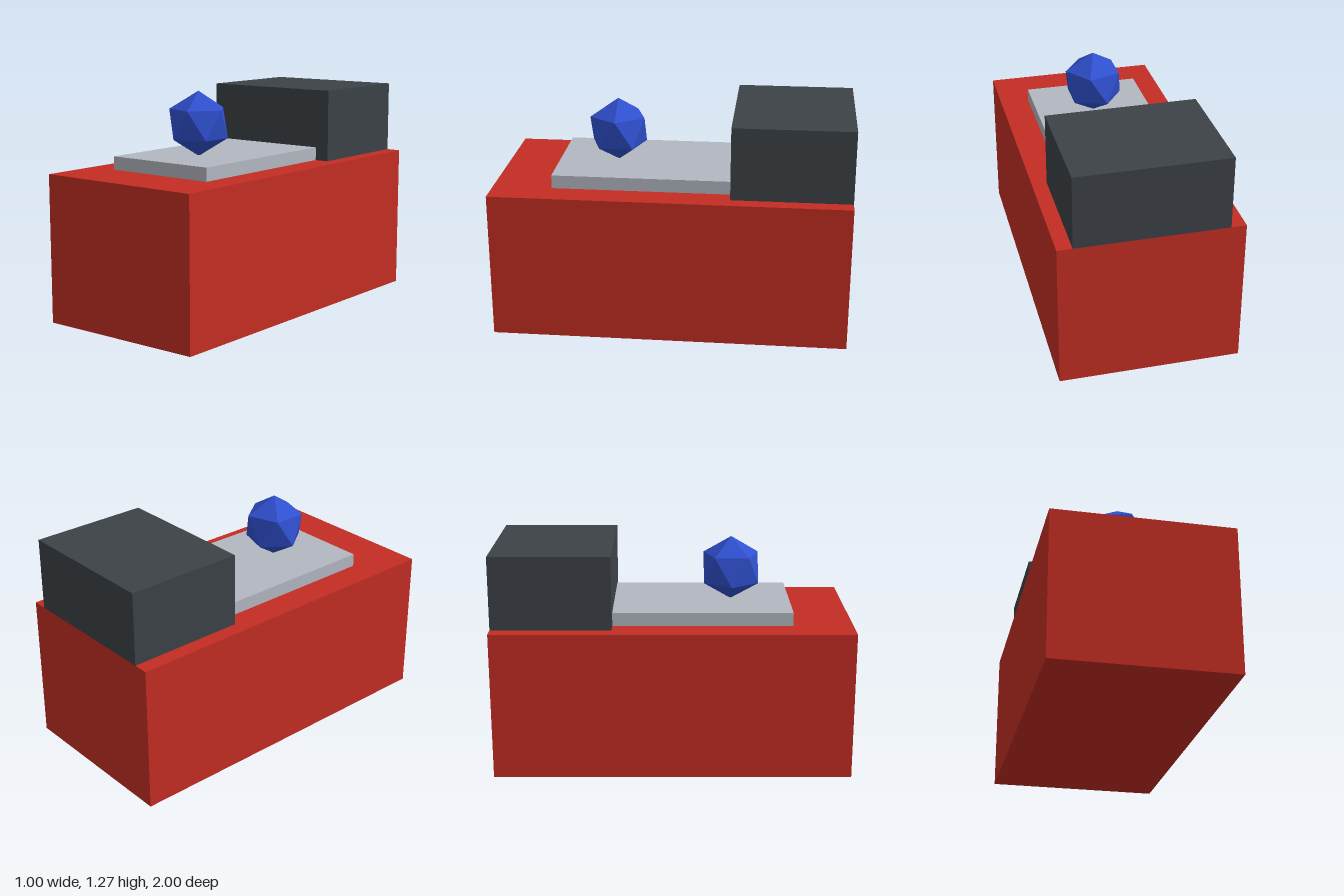
import * as THREE from 'three';

function material(name, color) {
  const m = new THREE.MeshStandardMaterial({ color, flatShading: true });
  m.name = name;
  return m;
}

export function createModel() {
  const model = new THREE.Group();
  model.name = 'model';

  const red = material('red', 0xc42d23);
  const charcoal = material('charcoal', 0x3c4247);
  const grey = material('light grey', 0xb3b7c1);
  const blue = material('blue', 0x3050d0);

  // Box centred on x = 0, given by its width and its y and z ranges
  function box(name, width, y0, y1, z0, z1, mat) {
    const mesh = new THREE.Mesh(new THREE.BoxGeometry(width, y1 - y0, z1 - z0), mat);
    mesh.name = name;
    mesh.position.set(0, (y0 + y1) / 2, (z0 + z1) / 2);
    model.add(mesh);
  }

  box('base', 1, 0, 0.833, -1, 1, red);
  box('rearBlock', 0.833, 0.833, 1.243, -1, -0.333, charcoal);
  box('slab', 0.667, 0.833, 0.908, -0.333, 0.667, grey);

  // Twenty-sided gem standing on one corner
  const golden = (1 + Math.sqrt(5)) / 2;
  const gemGeometry = new THREE.IcosahedronGeometry(0.182, 0);
  gemGeometry.rotateZ(-Math.atan(1 / golden));
  const gem = new THREE.Mesh(gemGeometry, blue);
  gem.name = 'gem';
  gem.position.set(0, 1.085, 0.333);
  model.add(gem);

  return model;
}
